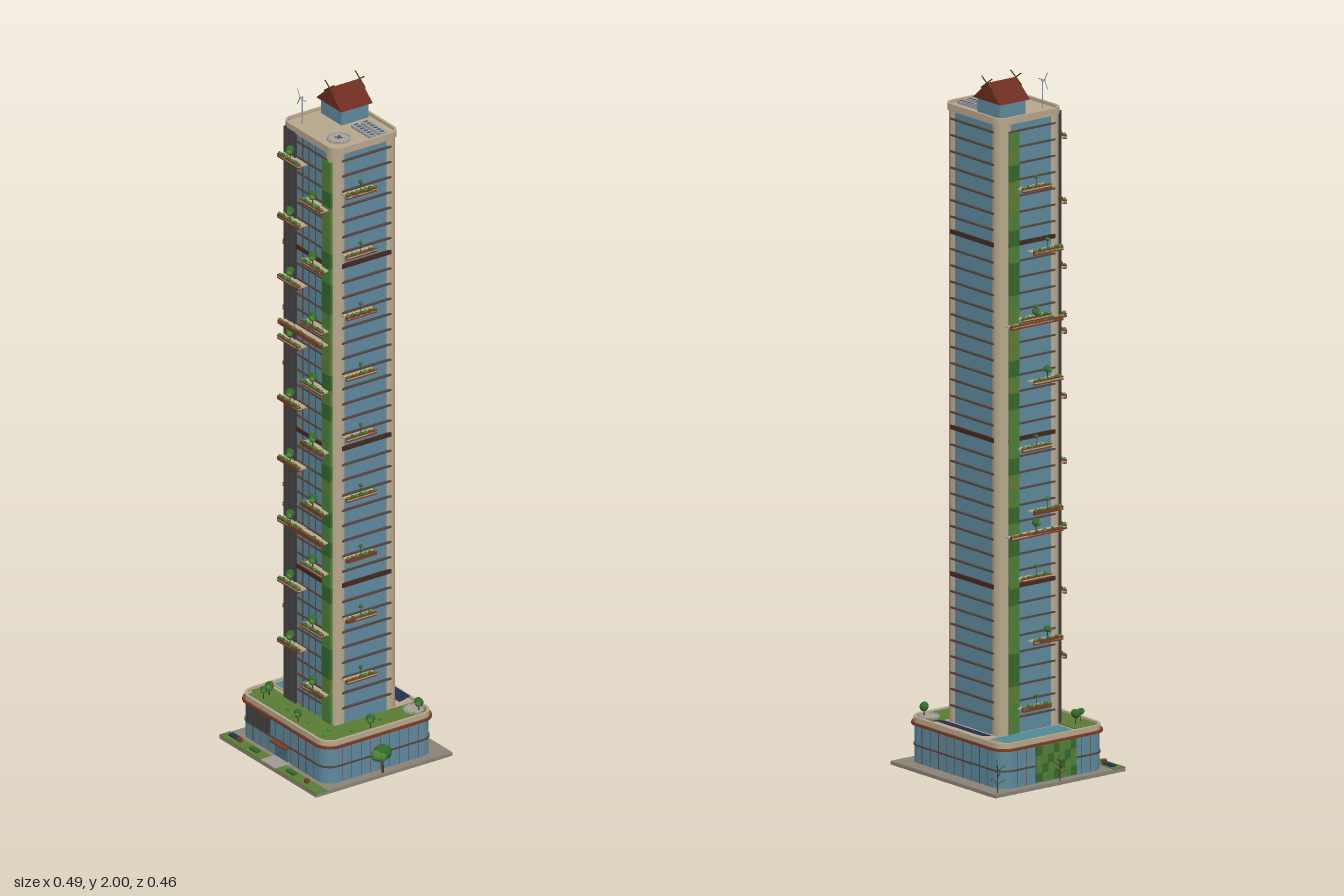
import * as THREE from 'three';

const mats = {};
const mat = (c) => (mats[c] ??= new THREE.MeshStandardMaterial({ color: c, flatShading: true, side: THREE.DoubleSide }));
const C = {
  glass: 0x5f8a9e, beige: 0xb8a78c, brown: 0x7a3c24, dark: 0x3c3a3a, line: 0x54463f, grass: 0x5a7d35, leaf: 0x35682c,
  leaf2: 0x4c8038, paving: 0x8c8276, panel: 0x26304f, water: 0x4f8b94, metal: 0x9a9fa6, roof: 0x6e2c1f, trunk: 0x4a3322,
};

let seed = 7;
const rand = () => ((seed = (seed * 16807) % 2147483647) / 2147483647);

function add(parent, name, geo, color, x = 0, y = 0, z = 0) {
  const m = new THREE.Mesh(geo, mat(color));
  m.name = name;
  m.position.set(x, y, z);
  parent.add(m);
  return m;
}
// Box given by its limits
const box = (p, name, color, x0, x1, y0, y1, z0, z1) =>
  add(p, name, new THREE.BoxGeometry(x1 - x0, y1 - y0, z1 - z0), color, (x0 + x1) / 2, (y0 + y1) / 2, (z0 + z1) / 2);
const cyl = (p, name, color, r0, r1, h, x, y, z, n = 12) =>
  add(p, name, new THREE.CylinderGeometry(r1, r0, h, n), color, x, y + h / 2, z);

// Rounded rectangle outline in plan
function outline(x0, x1, z0, z1, r, Type = THREE.Shape) {
  const s = new Type(), q = Math.PI / 2;
  s.absarc(x1 - r, -z0 - r, r, 0, q);
  s.absarc(x0 + r, -z0 - r, r, q, 2 * q);
  s.absarc(x0 + r, -z1 + r, r, 2 * q, 3 * q);
  s.absarc(x1 - r, -z1 + r, r, 3 * q, 4 * q);
  s.closePath();
  return s;
}
// Upright rounded block; wall > 0 makes it a hollow rim
function block(p, name, color, [x0, x1, z0, z1], r, y0, y1, wall = 0) {
  const s = outline(x0, x1, z0, z1, r);
  if (wall) s.holes.push(outline(x0 + wall, x1 - wall, z0 + wall, z1 - wall, r - wall, THREE.Path));
  const g = new THREE.ExtrudeGeometry(s, { depth: y1 - y0, bevelEnabled: false, curveSegments: 5 });
  return add(p, name, g.rotateX(-Math.PI / 2), color, 0, y0, 0);
}
const bush = (p, x, y, z, r, color = C.leaf) => {
  const m = add(p, 'foliage', new THREE.IcosahedronGeometry(r, 1), color, x, y, z);
  m.rotation.set(rand() * 3, rand() * 3, 0);
  m.scale.y = 0.85;
};
const tree = (p, x, y, z, h, r) => {
  cyl(p, 'trunk', C.trunk, r * 0.13, r * 0.1, h, x, y, z, 6);
  bush(p, x, y + h, z, r, C.leaf);
  bush(p, x + r * 0.35, y + h - r * 0.2, z + r * 0.4, r * 0.7, C.leaf2);
};
const rod = (p, name, color, a, b, r) => {
  const v0 = new THREE.Vector3(...a), v1 = new THREE.Vector3(...b), d = v1.clone().sub(v0);
  const m = add(p, name, new THREE.CylinderGeometry(r, r, d.length(), 5), color);
  m.position.copy(v0).add(v1).multiplyScalar(0.5);
  m.quaternion.setFromUnitVectors(new THREE.Vector3(0, 1, 0), d.normalize());
};

// Planted balcony: local x along the wall, local z outward
function balcony(parent, x, y, z, turn, w, d, treeR) {
  const g = new THREE.Group();
  g.name = 'balcony';
  g.position.set(x, y, z);
  g.rotation.y = turn;
  box(g, 'balconySlab', C.beige, -w / 2, w / 2, 0, 0.004, -0.004, d);
  box(g, 'planter', C.brown, -w / 2, w / 2, -0.004, 0.007, d - 0.01, d);
  for (let i = 0; i < 7; i++) bush(g, (i / 6 - 0.5) * (w - 0.012), 0.008, d - 0.005, 0.004 + rand() * 0.003, i % 2 ? C.leaf : C.leaf2);
  if (treeR) tree(g, 0, 0.004, d - 0.008, 0.03, treeR);
  parent.add(g);
}

function makeGround(root) {
  box(root, 'groundSlab', C.paving, -0.23, 0.23, 0, 0.01, -0.23, 0.23);
  box(root, 'groundUnderside', 0x3a322e, -0.229, 0.229, -0.0005, 0.001, -0.229, 0.229);
  for (const [a, b] of [[-0.23, -0.035], [0.035, 0.23]]) box(root, 'frontLawn', C.grass, a, b, 0.01, 0.012, 0.192, 0.23);
  box(root, 'entrancePath', 0xa09a94, -0.035, 0.035, 0.01, 0.013, 0.17, 0.23);
  box(root, 'groundPanel', C.panel, -0.21, -0.17, 0.012, 0.017, 0.197, 0.213);
  for (const x of [-0.09, 0.085]) {
    box(root, 'flowerBed', C.leaf, x - 0.017, x + 0.017, 0.012, 0.019, 0.203, 0.217);
  }
  for (const x of [-0.16, 0.157]) cyl(root, 'pot', C.brown, 0.007, 0.008, 0.01, x, 0.012, 0.21, 8);
  tree(root, 0.222, 0.01, 0, 0.062, 0.026);
  bush(root, 0.228, 0.07, 0.025, 0.018, C.leaf2);
  // Sparse young trees at the side
  for (const [x, z, h] of [[-0.215, -0.21, 0.09], [-0.228, 0, 0.07]]) {
    rod(root, 'saplingTrunk', C.trunk, [x, 0.01, z], [x, h, z], 0.0015);
    for (let i = 0; i < 9; i++) {
      const a = i * 2.4, y = 0.025 + (i / 9) * (h - 0.02), r = 0.012 + rand() * 0.012;
      const tip = [x + Math.cos(a) * r * 0.7, y + 0.012, z + Math.sin(a) * r];
      rod(root, 'saplingBranch', C.trunk, [x, y, z], tip, 0.0008);
      add(root, 'saplingLeaf', new THREE.OctahedronGeometry(0.003), C.leaf, ...tip);
    }
  }
}

function makePodium(root) {
  const P = [-0.207, 0.203, -0.187, 0.177];
  const grow = (e) => [P[0] - e, P[1] + e, P[2] - e, P[3] + e];
  block(root, 'podiumGlass', C.glass, P, 0.04, 0.01, 0.128);
  block(root, 'podiumBand', C.line, grow(0.003), 0.043, 0.058, 0.063);
  block(root, 'podiumEave', C.brown, grow(0.009), 0.048, 0.118, 0.125, 0.03);
  block(root, 'podiumRoof', C.beige, grow(0.003), 0.043, 0.125, 0.133);
  block(root, 'podiumParapet', C.beige, grow(0.003), 0.043, 0.133, 0.14, 0.008);
  // Entrance, louvres and mullions
  box(root, 'entrance', 0x48707f, -0.035, 0.025, 0.012, 0.055, 0.17, 0.181);
  box(root, 'entranceCanopy', C.brown, -0.04, 0.03, 0.055, 0.06, 0.17, 0.195);
  for (let i = 0; i < 14; i++) box(root, 'podiumLouvre', C.dark, -0.168 + i * 0.008, -0.166 + i * 0.008, 0.066, 0.115, 0.175, 0.185);
  for (let i = -4; i <= 4; i++) {
    box(root, 'podiumMullion', C.line, i * 0.036 - 0.0008, i * 0.036 + 0.0008, 0.012, 0.12, P[2] - 0.001, P[3] + 0.001);
    box(root, 'podiumMullion', C.line, P[0] - 0.001, P[1] + 0.001, 0.012, 0.12, i * 0.032 - 0.0058, i * 0.032 - 0.0042);
  }
  // Green wall on the -x side
  for (let i = 0; i < 7; i++) for (let j = 0; j < 4; j++)
    box(root, 'greenWall', [C.leaf, C.leaf2, C.grass][(i * 2 + j) % 3], -0.213 - rand() * 0.002, -0.2, 0.015 + j * 0.025, 0.04 + j * 0.025, -0.07 + i * 0.02, -0.05 + i * 0.02);
  // Roof garden
  box(root, 'sideLawn', C.grass, 0.12, 0.198, 0.13, 0.136, -0.148, 0.14);
  box(root, 'sideLawnEnd', C.grass, 0.12, 0.185, 0.13, 0.136, -0.178, -0.148);
  box(root, 'frontLawnRoof', C.grass, -0.198, 0.198, 0.13, 0.1362, 0.088, 0.145);
  box(root, 'frontLawnEdge', C.grass, -0.185, 0.185, 0.13, 0.136, 0.145, 0.168);
  box(root, 'poolRim', C.beige, -0.2, -0.125, 0.13, 0.137, -0.168, 0.075);
  box(root, 'poolWater', C.water, -0.194, -0.131, 0.13, 0.138, -0.163, 0.07);
  for (let i = 0; i < 11; i++) {
    const m = box(root, 'solarPanel', C.panel, -0.104 + i * 0.0186, -0.0865 + i * 0.0186, 0.14, 0.142, -0.18, -0.143);
    m.rotation.x = 0.2;
  }
  cyl(root, 'terraceDisc', 0xa8a08f, 0.029, 0.029, 0.003, 0.16, 0.136, -0.148, 20);
  add(root, 'terraceRing', new THREE.TorusGeometry(0.026, 0.002, 5, 20).rotateX(Math.PI / 2), C.metal, 0.16, 0.14, -0.148);
  for (const [x, z, r] of [[0.175, -0.155, 0.014], [0.185, 0.015, 0.014], [-0.145, 0.122, 0.014], [-0.135, 0.148, 0.011], [0.04, 0.157, 0.012]])
    tree(root, x, 0.136, z, 0.028, r);
  for (const [x, z] of [[0.16, -0.037], [0.175, 0.072], [0.135, 0.12], [0.155, 0.148], [-0.037, 0.135], [0.008, 0.147], [0.06, 0.137]])
    bush(root, x, 0.139, z, 0.006, C.leaf2);
}

function makeTower(root) {
  const x0 = -0.126, x1 = 0.118, z0 = -0.128, z1 = 0.092, r = 0.028, base = 0.133, top = 1.88;
  block(root, 'towerGlass', C.glass, [x0 + 0.003, x1 - 0.003, z0 + 0.003, z1 - 0.003], r, base, top);
  for (const x of [x0 + r, x1 - r]) for (const z of [z0 + r, z1 - r])
    add(root, 'cornerColumn', new THREE.CylinderGeometry(r, r, top - base, 20), C.beige, x, (top + base) / 2, z);
  // Floor ledges between the corner columns
  const step = 0.0464, floors = 37, special = [9, 18, 30];
  for (let i = 1; i <= floors; i++) {
    const y = base + i * step, h = special.includes(i) ? 0.012 : 0.005, c = special.includes(i) ? 0x43291f : C.line;
    box(root, 'floorLedge', c, x0 + r, x1 - r, y, y + h, z0 - 0.004, z1 + 0.001);
    box(root, 'floorLedge', c, x0 - 0.002, x1 + 0.004, y, y + h, z0 + r, z1 - r);
  }
  // Vertical louvres on the front
  for (let i = 0; i < 7; i++) box(root, 'frontLouvre', C.dark, -0.112 + i * 0.0085, -0.1105 + i * 0.0085, base, top, z1 - 0.005, z1 + 0.006);
  for (const x of [-0.03, 0, 0.03]) box(root, 'frontMullion', C.line, x - 0.0007, x + 0.0007, base, top, z1 - 0.005, z1);
  // Planted strips on the front and on the -x side
  for (let i = 0; i < floors; i++) {
    const y = base + i * step, c = [C.leaf2, C.grass, C.leaf][Math.floor(rand() * 3)];
    box(root, 'plantedStrip', c, 0.068, 0.106, y, y + step, z1 - 0.01, z1 + 0.003 + rand() * 0.002);
    box(root, 'plantedStrip', c, x0 - 0.003 - rand() * 0.002, x0 + 0.01, y, y + step, -0.1, -0.064);
  }
  // Balconies
  for (let k = 0; k < 9; k++) {
    const y = 0.185 * k;
    balcony(root, -0.058, 0.318 + y, z1, 0, 0.1, 0.03, 0.014);
    balcony(root, 0.05, 0.222 + y, z1, 0, 0.1, 0.03, 0.014);
    balcony(root, x1, 0.27 + y, 0.016, Math.PI / 2, 0.1, 0.03, 0.006);
    balcony(root, x0, 0.205 + y, k % 2 ? 0.02 : -0.02, -Math.PI / 2, 0.1, 0.03, k % 4 === 1 ? 0.011 : 0.006);
  }
  for (const y of [0.686, 1.29]) balcony(root, -0.004, y, z1, 0, 0.205, 0.03, 0);
  for (const y of [0.7, 1.3]) balcony(root, x0, y, -0.02, -Math.PI / 2, 0.18, 0.03, 0.012);
  balcony(root, x1, 1.75 + 0.002, 0.016, Math.PI / 2, 0.1, 0.03, 0.006);
  // Roof slab and parapet
  const R = [x0 - 0.003, x1 + 0.005, z0 - 0.004, z1 + 0.002];
  block(root, 'towerRoof', C.beige, R, 0.032, 1.875, 1.886);
  block(root, 'towerParapet', C.beige, R, 0.032, 1.886, 1.895, 0.007);
}

function makeRooftop(root) {
  // Gabled roof house
  box(root, 'roofHouse', C.glass, -0.108, -0.01, 1.886, 1.936, -0.116, -0.026);
  const s = new THREE.Shape([[-0.06, 0], [0.06, 0], [0, 0.052]].map((p) => new THREE.Vector2(...p)));
  add(root, 'gableRoof', new THREE.ExtrudeGeometry(s, { depth: 0.105, bevelEnabled: false }), C.roof, -0.059, 1.932, -0.123);
  for (const z of [-0.122, -0.02]) for (const d of [-1, 1])
    rod(root, 'crossedGableBeam', C.trunk, [-0.059 - d * 0.025, 1.966, z], [-0.059 + d * 0.022, 1.999, z], 0.0018);
  // Wind turbine
  rod(root, 'turbinePole', C.metal, [-0.083, 1.886, 0.055], [-0.083, 1.968, 0.055], 0.002);
  rod(root, 'turbineHub', C.metal, [-0.083, 1.966, 0.052], [-0.083, 1.966, 0.064], 0.003);
  for (let i = 0; i < 3; i++) {
    const a = Math.PI / 2 + (i * Math.PI * 2) / 3 + 0.5;
    rod(root, 'turbineBlade', C.metal, [-0.083, 1.966, 0.062], [-0.083 + Math.cos(a) * 0.027, 1.966 + Math.sin(a) * 0.027, 0.062], 0.0014);
  }
  // Fan with cross blades inside a ring
  cyl(root, 'fanBase', 0xa9a296, 0.033, 0.033, 0.004, 0.055, 1.886, 0.03, 24);
  add(root, 'fanRing', new THREE.TorusGeometry(0.031, 0.0025, 5, 24).rotateX(Math.PI / 2), C.metal, 0.055, 1.891, 0.03);
  for (const t of [0.78, -0.78]) add(root, 'fanBlade', new THREE.BoxGeometry(0.022, 0.002, 0.003), C.dark, 0.055, 1.892, 0.03).rotation.y = t;
  // Two rows of rooftop units
  for (const z of [-0.084, -0.051]) for (let i = 0; i < 6; i++) {
    const x = 0.016 + i * 0.0153;
    box(root, 'rooftopUnit', C.metal, x, x + 0.013, 1.886, 1.894, z - 0.011, z + 0.011);
    box(root, 'rooftopUnitGrille', 0x4a5064, x + 0.002, x + 0.008, 1.894, 1.895, z - 0.008, z + 0.004);
  }
}

export function createModel() {
  const root = new THREE.Group();
  root.name = 'gardenTower';
  for (const [name, make] of [['ground', makeGround], ['podium', makePodium], ['tower', makeTower], ['rooftop', makeRooftop]]) {
    const g = new THREE.Group();
    g.name = name;
    make(g);
    root.add(g);
  }
  return root;
}
